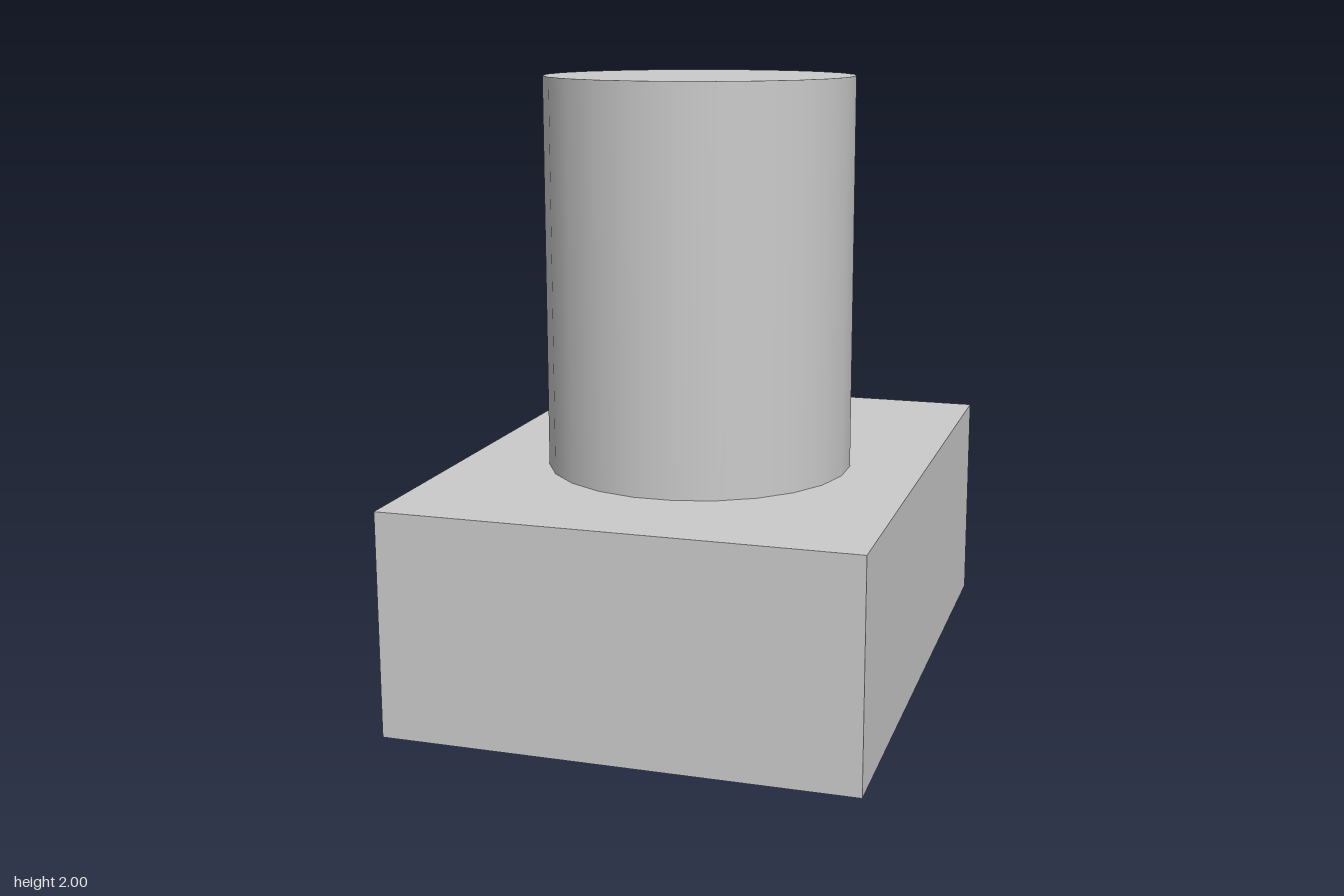
import * as THREE from 'three';

export function createModel() {
  const group = new THREE.Group();
  const material = new THREE.MeshStandardMaterial({ color: 0xcccccc });
  const baseHeight = 0.725;
  const totalHeight = 2;

  // Rectangular base block
  const base = new THREE.Mesh(new THREE.BoxGeometry(1.51, baseHeight, 1.97), material);
  base.name = 'base';
  base.position.y = baseHeight / 2;
  group.add(base);

  // 24-sided smooth column, set forward of centre, turned half a step so flats face the axes
  const sides = 24;
  const height = totalHeight - baseHeight;
  const column = new THREE.Mesh(
    new THREE.CylinderGeometry(0.503, 0.503, height, sides, 1, false, Math.PI / sides),
    material
  );
  column.name = 'column';
  column.position.set(0.008, baseHeight + height / 2, 0.113);
  group.add(column);

  return group;
}
